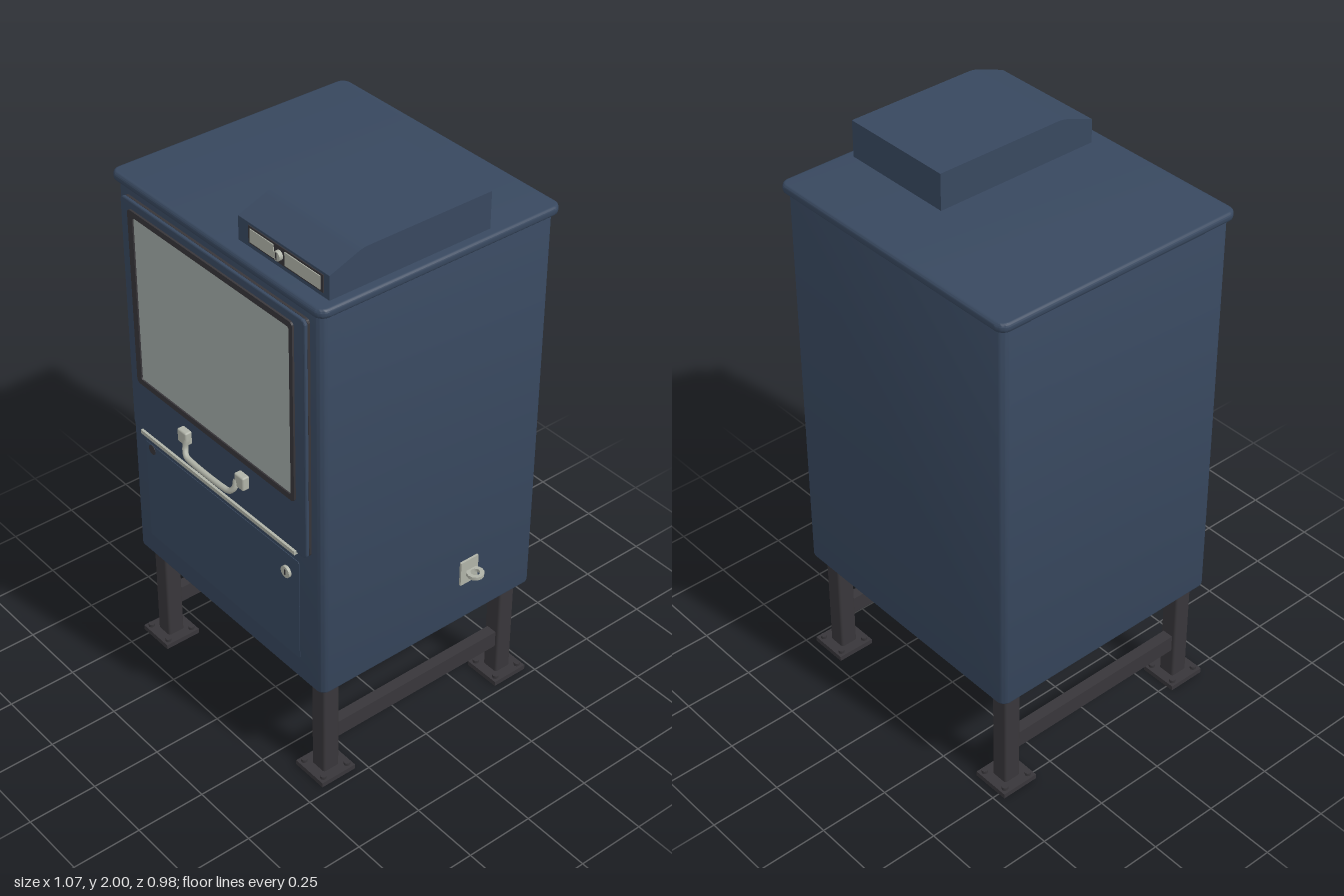
import * as THREE from 'three';
import { toCreasedNormals } from 'three/addons/utils/BufferGeometryUtils.js';
import { RoundedBoxGeometry } from 'three/addons/geometries/RoundedBoxGeometry.js';

const material = (name, color) => new THREE.MeshStandardMaterial({ name, color });

function roundedRect(x0, y0, x1, y1, r) {
  const s = new THREE.Shape();
  s.moveTo(x0 + r, y0);
  s.lineTo(x1 - r, y0);
  s.absarc(x1 - r, y0 + r, r, -Math.PI / 2, 0);
  s.lineTo(x1, y1 - r);
  s.absarc(x1 - r, y1 - r, r, 0, Math.PI / 2);
  s.lineTo(x0 + r, y1);
  s.absarc(x0 + r, y1 - r, r, Math.PI / 2, Math.PI);
  s.lineTo(x0, y0 + r);
  s.absarc(x0 + r, y0 + r, r, Math.PI, Math.PI * 1.5);
  return s;
}

function extrude(shape, depth, bevel = 0) {
  const g = new THREE.ExtrudeGeometry(shape, {
    depth: depth - 2 * bevel, curveSegments: 6, bevelEnabled: bevel > 0,
    bevelSize: bevel, bevelOffset: -bevel, bevelThickness: bevel, bevelSegments: 3,
  });
  g.translate(0, 0, bevel);
  return toCreasedNormals(g, 0.7);
}

export function createModel() {
  const model = new THREE.Group();
  model.name = 'vendingBox';
  const navy = material('navy paint', 0x38485f);
  const dark = material('dark metal', 0x38363a);
  const steel = material('light steel', 0xb0b3a8);
  const glass = material('window glass', 0xa2aba8);

  function add(name, geometry, mat, parent = model) {
    const m = new THREE.Mesh(geometry, mat);
    m.name = name;
    parent.add(m);
    return m;
  }
  // Box given by its limits on each axis
  function box(name, [x0, x1], [y0, y1], [z0, z1], mat, r = 0, parent = model) {
    const size = [x1 - x0, y1 - y0, z1 - z0];
    const g = r ? new RoundedBoxGeometry(...size, 2, r) : new THREE.BoxGeometry(...size);
    g.translate((x0 + x1) / 2, (y0 + y1) / 2, (z0 + z1) / 2);
    return add(name, g, mat, parent);
  }
  // Horizontal slab with rounded corners
  function slab(name, [x0, x1], [y0, y1], [z0, z1], r, bevel, mat) {
    const g = extrude(roundedRect(x0, -z1, x1, -z0, r), y1 - y0, bevel);
    g.rotateX(-Math.PI / 2).translate(0, y0, 0);
    return add(name, g, mat);
  }
  // Upright plate with rounded corners, facing the front
  function plate(name, [x0, x1], [y0, y1], [z0, z1], r, mat, bevel = 0) {
    return add(name, extrude(roundedRect(x0, y0, x1, y1, r), z1 - z0, bevel).translate(0, 0, z0), mat);
  }
  // Round disc facing the front
  function disc(name, x, y, z0, z1, r, mat) {
    const g = new THREE.CylinderGeometry(r, r, z1 - z0, 20);
    g.rotateX(Math.PI / 2).translate(x, y, (z0 + z1) / 2);
    return add(name, g, mat);
  }

  // Cabinet and lid
  slab('cabinet', [-0.522, 0.474], [0.405, 1.845], [-0.474, 0.425], 0.03, 0.008, navy);
  slab('lid', [-0.537, 0.49], [1.842, 1.873], [-0.49, 0.44], 0.035, 0.01, navy);

  // Door on its dark gasket, with the window
  plate('doorGasket', [-0.472, 0.424], [0.947, 1.813], [0.42, 0.434], 0.015, dark);
  plate('door', [-0.474, 0.426], [0.945, 1.815], [0.434, 0.447], 0.018, navy, 0.004);
  const frame = roundedRect(-0.43, 1.142, 0.378, 1.788, 0.015);
  frame.holes.push(roundedRect(-0.405, 1.163, 0.362, 1.767, 0.008));
  add('windowFrame', extrude(frame, 0.01).translate(0, 0, 0.444), dark);
  box('window', [-0.41, 0.367], [1.158, 1.772], [0.444, 0.449], glass);
  box('doorStrip', [-0.425, 0.378], [0.939, 0.953], [0.43, 0.456], steel);

  // Door handle
  const handle = new THREE.Group();
  handle.name = 'handle';
  model.add(handle);
  for (const side of [-1, 1]) {
    const x = -0.024 + side * 0.148;
    box('handleMount', [x - 0.023, x + 0.023], [1.05, 1.1], [0.445, 0.472], steel, 0.006, handle);
  }
  const points = [[-0.152, 1.075, 0.465], [-0.153, 1.045, 0.472], [-0.137, 1.025, 0.48], [-0.105, 1.019, 0.481],
    [0.057, 1.019, 0.481], [0.089, 1.025, 0.48], [0.105, 1.045, 0.472], [0.104, 1.075, 0.465]];
  const path = new THREE.CatmullRomCurve3(points.map(p => new THREE.Vector3(...p)), false, 'centripetal');
  add('handleBar', new THREE.TubeGeometry(path, 40, 0.01, 10), steel, handle);

  // Lower service panel with lock
  plate('lowerPanel', [-0.443, 0.363], [0.49, 0.885], [0.42, 0.427], 0.006, navy);
  disc('panelPlug', -0.408, 0.866, 0.42, 0.428, 0.018, dark);
  disc('lock', 0.305, 0.815, 0.42, 0.437, 0.021, steel);
  box('keySlot', [0.302, 0.308], [0.805, 0.825], [0.433, 0.438], dark);

  // Coin box with sloping front
  const profile = new THREE.Shape();
  profile.moveTo(-0.227, 1.868);
  profile.lineTo(0.38, 1.868);
  profile.lineTo(0.38, 1.955);
  profile.lineTo(0.28, 1.992);
  profile.quadraticCurveTo(0.26, 2, 0.235, 2);
  profile.lineTo(-0.227, 2);
  const coinBox = extrude(profile, 0.418);
  coinBox.rotateY(-Math.PI / 2).translate(0.455, 0, 0);
  add('coinBox', coinBox, navy);
  box('coinPanelFrame', [0.088, 0.43], [1.888, 1.947], [0.375, 0.383], dark);
  box('coinPanelLeft', [0.098, 0.208], [1.895, 1.94], [0.378, 0.386], steel);
  box('coinPanelRight', [0.26, 0.42], [1.895, 1.94], [0.378, 0.386], steel);
  disc('coinKnob', 0.235, 1.918, 0.378, 0.396, 0.016, steel);
  box('coinSlot', [0.233, 0.237], [1.906, 1.93], [0.39, 0.3975], dark);

  // Hasp with a flat ring on the left side
  box('haspPlate', [0.47, 0.482], [0.56, 0.653], [-0.22, -0.146], steel);
  const ring = new THREE.Shape().absarc(0, 0, 0.03, 0, Math.PI * 2);
  ring.holes.push(new THREE.Path().absarc(0, 0, 0.016, 0, Math.PI * 2, true));
  const ringGeometry = extrude(ring, 0.012);
  ringGeometry.rotateX(-Math.PI / 2).translate(0.504, 0.6, -0.188);
  add('haspRing', ringGeometry, steel);

  // Legs with bolted feet, joined by a bar on each side
  for (const x of [-0.458, 0.405]) {
    for (const z of [0.357, -0.405]) {
      box('leg', [x - 0.032, x + 0.032], [0.01, 0.42], [z - 0.032, z + 0.032], dark, 0.008);
      box('foot', [x - 0.069, x + 0.069], [0, 0.018], [z - 0.069, z + 0.069], dark);
      for (const dx of [-1, 1]) for (const dz of [-1, 1]) {
        const bolt = new THREE.CylinderGeometry(0.011, 0.011, 0.012, 8);
        add('footBolt', bolt.translate(x + dx * 0.05, 0.023, z + dz * 0.05), dark);
      }
    }
    box('sideBar', [x - 0.02, x + 0.02], [0.13, 0.193], [-0.38, 0.33], dark);
  }
  return model;
}
